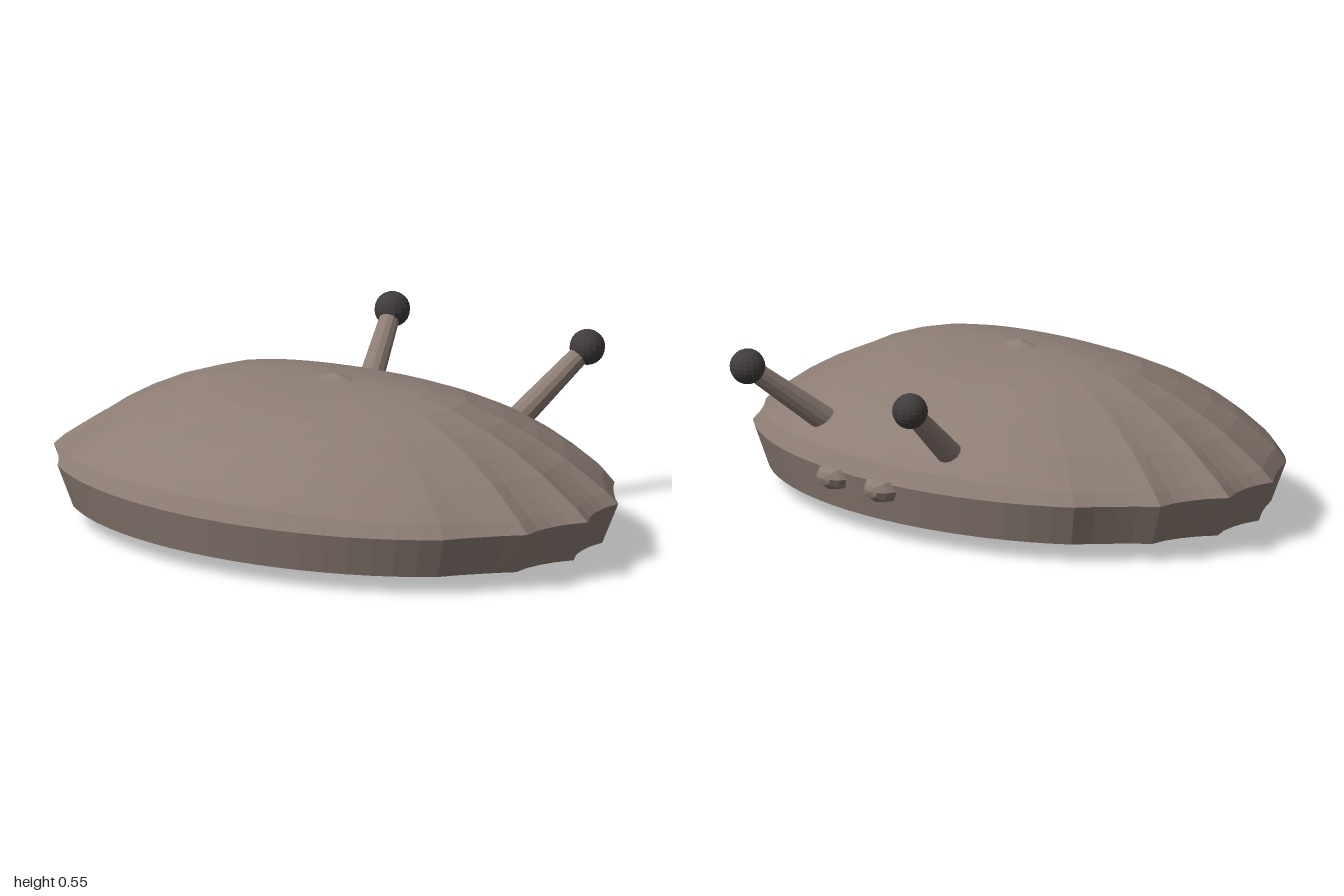
import * as THREE from 'three';

const SEGMENTS = 72, CENTRE_Z = 0.08, HALF_X = 1, HALF_Z = 0.7;

// Inward scallop at an outline angle: two hollows each side of the side tips
function dent(deg) {
  const a = Math.min(deg % 180, 180 - (deg % 180));
  if (a >= 40) return 0;
  const depth = a < 20 ? 0.042 : 0.024;
  return depth * Math.pow(Math.sin(Math.PI * (a % 20) / 20), 0.7);
}

// Loft of scaled outlines; ring = [scale, height towards front/back, height towards sides]
function loft(rings) {
  const pos = [], idx = [];
  for (const [s, yZ, yX = yZ] of rings) {
    for (let i = 0; i < SEGMENTS; i++) {
      const deg = i * 360 / SEGMENTS, t = THREE.MathUtils.degToRad(deg);
      const r = s * (1 - dent(deg) * s), side = Math.cos(t) ** 2;
      pos.push(Math.cos(t) * r * HALF_X, yZ + (yX - yZ) * side, CENTRE_Z + Math.sin(t) * r * HALF_Z);
    }
  }
  for (let j = 0; j < rings.length - 1; j++) {
    for (let i = 0; i < SEGMENTS; i++) {
      const n = (i + 1) % SEGMENTS;
      const a = j * SEGMENTS + i, b = j * SEGMENTS + n, c = a + SEGMENTS, d = b + SEGMENTS;
      idx.push(a, c, b, b, c, d);
    }
  }
  const g = new THREE.BufferGeometry();
  g.setAttribute('position', new THREE.Float32BufferAttribute(pos, 3));
  g.setIndex(idx);
  const flat = g.toNonIndexed(); // separate faces give faceted normals
  flat.computeVertexNormals();
  return flat;
}

export function createModel() {
  const model = new THREE.Group();
  const shellMat = new THREE.MeshStandardMaterial({ name: 'shell brown', color: 0x8d7d74 });
  const knobMat = new THREE.MeshStandardMaterial({ name: 'dark knob', color: 0x423c3c });
  shellMat.flatShading = true;
  knobMat.flatShading = true;

  const add = (name, geometry, material, parent = model) => {
    const mesh = new THREE.Mesh(geometry, material);
    mesh.name = name;
    parent.add(mesh);
    return mesh;
  };

  // Domed shell, rim to crown with a small tip
  add('dome', loft([
    [1, 0.19], [0.96, 0.245, 0.222], [0.9, 0.288, 0.262], [0.82, 0.332, 0.315],
    [0.72, 0.375, 0.37], [0.6, 0.413, 0.425], [0.46, 0.45, 0.474], [0.32, 0.476, 0.496],
    [0.18, 0.494, 0.502], [0.06, 0.503], [0.0001, 0.523],
  ]), shellMat);

  // Tapered skirt below the rim and the flat underside
  add('skirt', loft([[0.943, 0.057], [1, 0.19]]), shellMat);
  add('underside', loft([[0.0001, 0.057], [0.943, 0.057]]), shellMat);

  // Shallow oval foot under the body
  const footProfile = [[0, 0], [0.5, 0.004], [0.82, 0.015], [1, 0.034], [0.92, 0.044], [0.9, 0.06]]
    .map(([r, y]) => new THREE.Vector2(r, y));
  const foot = add('foot', new THREE.LatheGeometry(footProfile, 32), shellMat);
  foot.scale.set(0.237, 1, 0.335);
  foot.position.z = 0.155;

  for (const side of [1, -1]) {
    const label = side > 0 ? 'left' : 'right';

    // Antenna: slanted stalk with a round knob
    const antenna = new THREE.Group();
    antenna.name = label + 'Antenna';
    model.add(antenna);
    const base = new THREE.Vector3(side * 0.29, 0.28, -0.46);
    const tip = new THREE.Vector3(side * 0.387, 0.495, -0.73);
    const dir = tip.clone().sub(base);
    const stalk = add(label + 'Stalk', new THREE.CylinderGeometry(0.031, 0.042, dir.length(), 12), shellMat, antenna);
    stalk.position.copy(base).add(tip).multiplyScalar(0.5);
    stalk.quaternion.setFromUnitVectors(new THREE.Vector3(0, 1, 0), dir.normalize());
    add(label + 'Knob', new THREE.SphereGeometry(0.057, 16, 12), knobMat, antenna).position.copy(tip);

    // Small faceted bump at the back
    const bump = add(label + 'BackBump', new THREE.SphereGeometry(1, 8, 6), shellMat);
    bump.rotation.x = Math.PI / 2;
    bump.scale.set(0.066, 0.062, 0.045);
    bump.position.set(side * 0.112, 0.168, -0.6);
  }
  return model;
}
